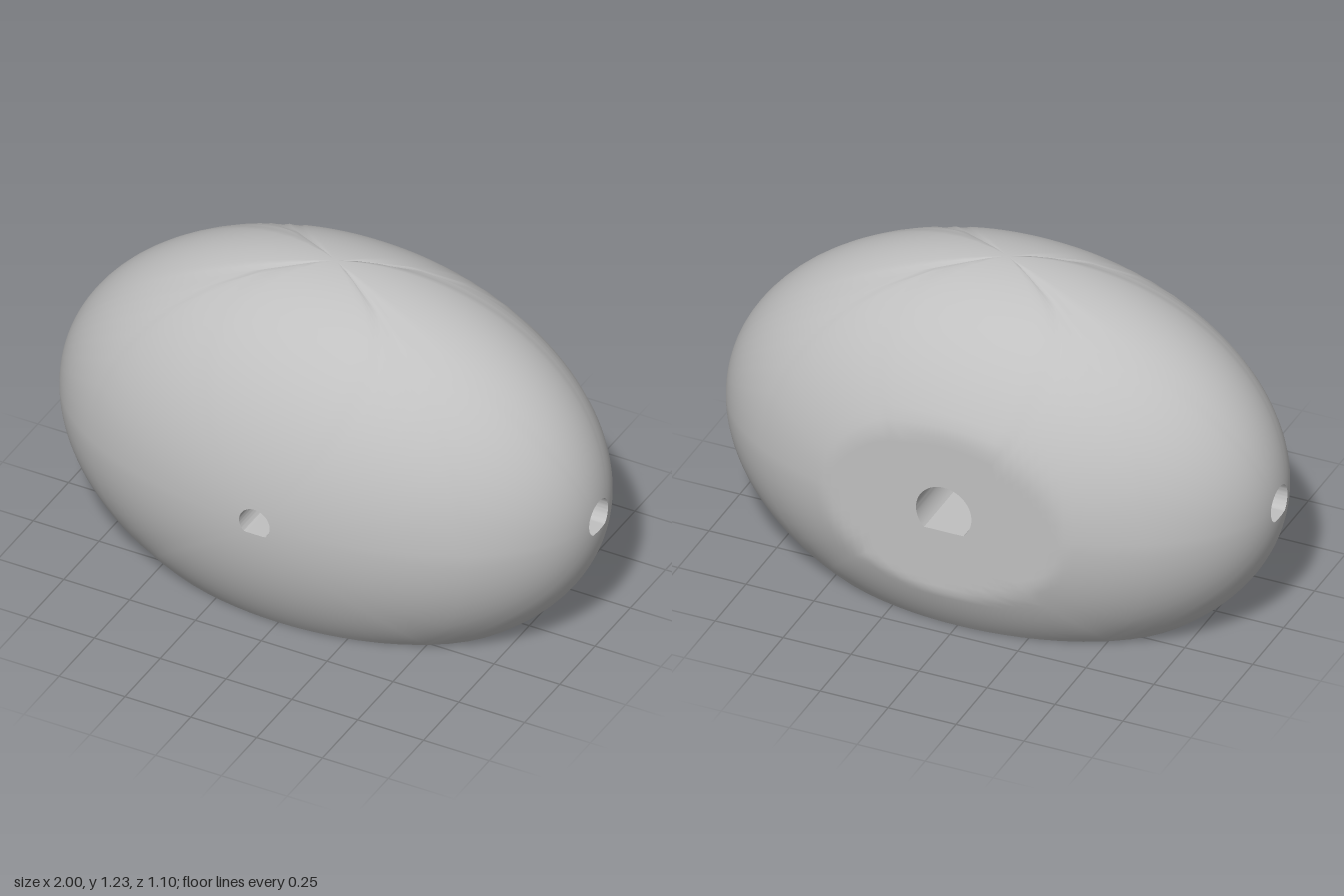
import * as THREE from 'three';
import { mergeVertices, mergeGeometries, toCreasedNormals } from 'three/addons/utils/BufferGeometryUtils.js';

// Egg-shaped shell: half-sizes, centre, and where the base and back are cut flat
const A = 1.004, B = 0.58, C = 0.72;
const CY = 0.51, CZ = -0.03, BACK = -0.52;
const BASE_LAT = -Math.asin(CY / C);
const SEGS = 64, RINGS = 22;

// One D-shaped socket per side: radius, flat edge below its centre, position of its blind end
const sockets = [
  { name: 'frontSocket', r: 0.058, flat: 0.042, end: 0.33 },
  { name: 'leftSocket', r: 0.067, flat: 0.05, end: 0.74 },
  { name: 'backSocket', r: 0.102, flat: 0.072, end: -0.22 },
  { name: 'rightSocket', r: 0.067, flat: 0.05, end: -0.74 },
];

// Point on the shell, with the back pressed flat
function shellPoint(theta, lat) {
  const k = Math.cos(lat);
  return new THREE.Vector3(
    A * k * Math.sin(theta),
    CY + C * Math.sin(lat),
    CZ + Math.max(B * k * Math.cos(theta), BACK)
  );
}

// Skin closed loops of equal length, inner loop first, counter-clockwise to the viewer
function skin(loops) {
  const n = loops[0].length, pos = [], index = [];
  loops.forEach(loop => loop.forEach(p => pos.push(p.x, p.y, p.z)));
  for (let r = 0; r < loops.length - 1; r++) {
    for (let i = 0; i < n; i++) {
      const j = (i + 1) % n;
      const a = r * n + i, b = r * n + j, c = a + n, d = b + n;
      index.push(a, c, d, a, d, b);
    }
  }
  const g = new THREE.BufferGeometry();
  g.setAttribute('position', new THREE.Float32BufferAttribute(pos, 3));
  g.setIndex(index);
  return g;
}

// Angular position on the shell of a socket's outline, at angle a around its centre
function outline(side, s, a) {
  const sin = Math.sin(a);
  const r = sin < 0 ? Math.min(s.r, s.flat / -sin) : s.r;
  const lat = Math.asin(r * sin / C);
  const width = (side % 2 ? B : A) * Math.cos(lat);
  return { theta: Math.asin(r * Math.cos(a) / width), lat };
}

const angles = Array.from({ length: SEGS }, (_, i) => i / SEGS * Math.PI * 2);

// Quarter of the shell, spreading from the socket outline to the quarter's borders
function shellQuarter(side, s) {
  const loops = [];
  for (let r = 0; r <= RINGS; r++) {
    const f = Math.pow(r / RINGS, 1.25);
    loops.push(angles.map(a => {
      const m = Math.max(Math.abs(Math.cos(a)), Math.abs(Math.sin(a)));
      const t = Math.sin(a) / m;
      const inner = outline(side, s, a);
      const theta = THREE.MathUtils.lerp(inner.theta, Math.cos(a) / m * Math.PI / 4, f);
      const lat = THREE.MathUtils.lerp(inner.lat, t > 0 ? t * Math.PI / 2 : -t * BASE_LAT, f);
      return shellPoint(side * Math.PI / 2 + theta, lat);
    }));
  }
  return skin(loops);
}

// Blind socket: end cap, then walls out to the shell surface
function socketGeometry(side, s) {
  const rim = angles.map(a => {
    const o = outline(side, s, a);
    return shellPoint(side * Math.PI / 2 + o.theta, o.lat);
  });
  const axis = side % 2 ? 'x' : 'z';
  const deep = rim.map(p => {
    const q = p.clone();
    q[axis] = s.end;
    return q;
  });
  const centre = new THREE.Vector3(0, CY, CZ);
  centre[axis] = s.end;
  return toCreasedNormals(skin([deep.map(() => centre), deep, rim]), 0.5);
}

export function createModel() {
  const group = new THREE.Group();
  const grey = new THREE.MeshStandardMaterial({ color: 0xc0c0c0 });
  grey.name = 'grey';
  const add = (name, geometry) => {
    const mesh = new THREE.Mesh(geometry, grey);
    mesh.name = name;
    group.add(mesh);
  };

  // Smooth outer shell, welded from its four quarters
  const shell = mergeVertices(mergeGeometries(sockets.map((s, i) => shellQuarter(i, s))), 1e-4);
  shell.computeVertexNormals();
  add('shell', shell);

  // Sockets in the four sides
  sockets.forEach((s, i) => add(s.name, socketGeometry(i, s)));

  // Underside: recessed floor, recess wall and flat rim
  const ellipse = (rx, rz, y) => Array.from({ length: 96 }, (_, i) => {
    const a = i / 96 * Math.PI * 2;
    return new THREE.Vector3(rx * Math.cos(a), y, CZ + rz * Math.sin(a));
  });
  const k = Math.cos(BASE_LAT), inset = 0.055, depth = 0.07;
  const rx = A * k, rz = B * k;
  const base = skin([
    ellipse(0, 0, depth),
    ellipse(rx - inset, rz - inset, depth),
    ellipse(rx - inset, rz - inset, 0),
    ellipse(rx, rz, 0),
  ]);
  add('recessedBase', toCreasedNormals(base, 0.5));

  return group;
}
